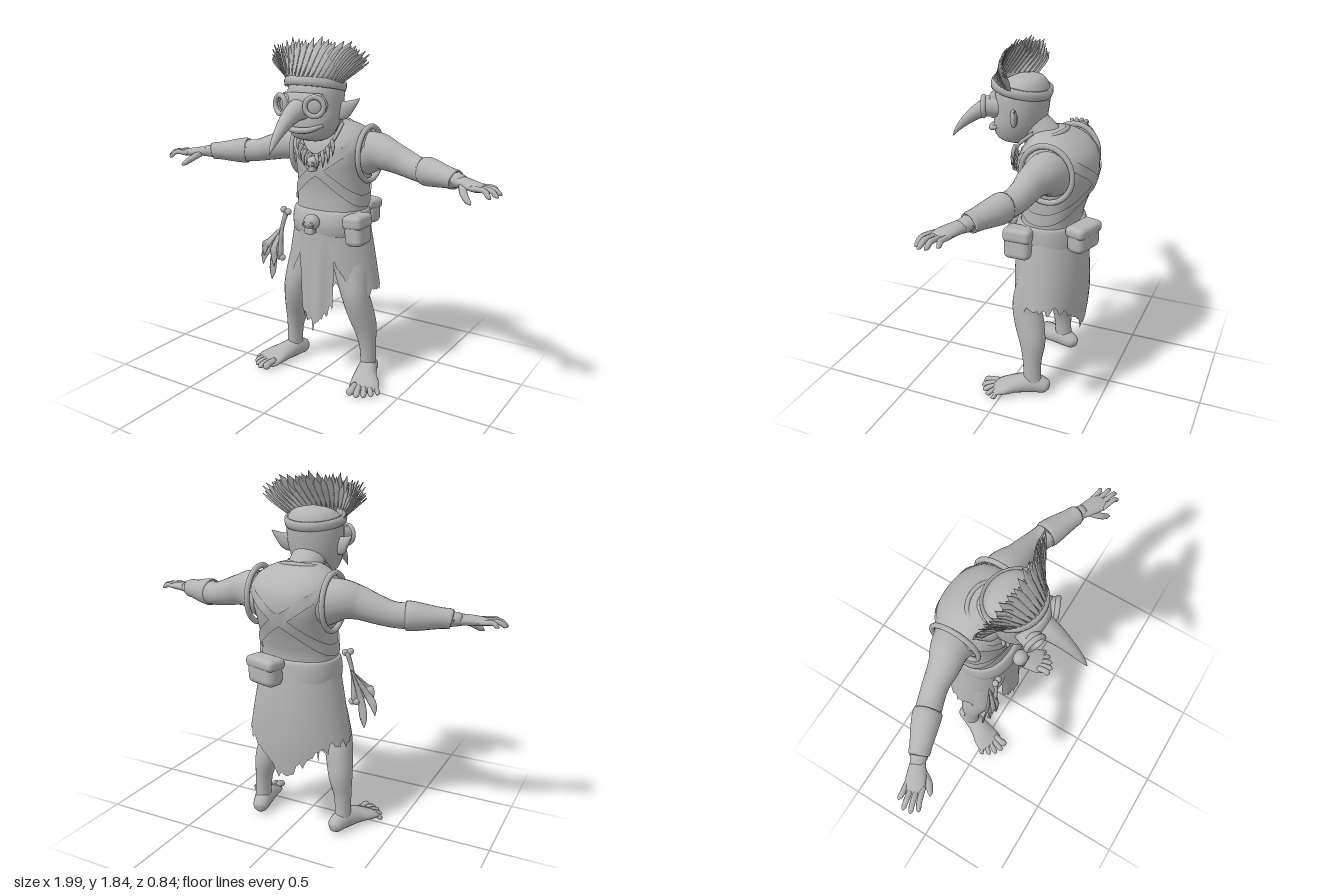
import * as THREE from 'three';
import { RoundedBoxGeometry } from 'three/addons/geometries/RoundedBoxGeometry.js';

const X = new THREE.Vector3(1, 0, 0), Y = new THREE.Vector3(0, 1, 0);
const V = (x, y, z) => new THREE.Vector3(x, y, z);
const wave = (c, p) => Math.sign(c) * Math.pow(Math.abs(c), p);

// Smooth capped body through stations [x, y, z, radiusAlongRef, otherRadius]
function sweep(stations, { ref = X, axis = null, sides = 20, steps = 5, power = 2 } = {}) {
  const path = new THREE.CatmullRomCurve3(stations.map(p => V(p[0], p[1], p[2])), false, 'catmullrom', 0.5);
  const radii = new THREE.CatmullRomCurve3(stations.map(p => V(p[3], p[4], 0)), false, 'catmullrom', 0.5);
  const n = (stations.length - 1) * steps, pos = [], idx = [];
  for (let i = 0; i <= n; i++) {
    const c = path.getPoint(i / n), r = radii.getPoint(i / n);
    const t = axis || path.getTangent(i / n);
    const u = ref.clone().addScaledVector(t, -ref.dot(t)).normalize();
    const w = t.clone().cross(u).normalize();
    for (let j = 0; j < sides; j++) {
      const a = j / sides * Math.PI * 2;
      const p = c.clone().addScaledVector(u, r.x * wave(Math.cos(a), 2 / power))
        .addScaledVector(w, r.y * wave(Math.sin(a), 2 / power));
      pos.push(p.x, p.y, p.z);
      if (i < n) {
        const k = (j + 1) % sides, q = i * sides;
        idx.push(q + j, q + k, q + sides + j, q + k, q + sides + k, q + sides + j);
      }
    }
  }
  const a = path.getPoint(0), b = path.getPoint(1), m = pos.length / 3;
  pos.push(a.x, a.y, a.z, b.x, b.y, b.z);
  for (let j = 0; j < sides; j++) {
    const k = (j + 1) % sides;
    idx.push(m, k, j, m + 1, n * sides + j, n * sides + k);
  }
  return buffer(pos, idx);
}

function buffer(pos, idx) {
  const g = new THREE.BufferGeometry();
  g.setAttribute('position', new THREE.Float32BufferAttribute(pos, 3));
  g.setIndex(idx);
  g.computeVertexNormals();
  return g;
}

// Thin sheet: f(u, v) gives a point, u and v run 0..1
function sheet(cols, rows, f) {
  const pos = [], idx = [];
  for (let i = 0; i <= cols; i++) for (let j = 0; j <= rows; j++) {
    pos.push(...f(i / cols, j / rows));
    if (i < cols && j < rows) {
      const a = i * (rows + 1) + j, b = a + rows + 1;
      idx.push(a, a + 1, b, a + 1, b + 1, b);
    }
  }
  return buffer(pos, idx);
}

// Torn edge: repeatable zigzag of uneven depth
const torn = i => (i % 4 === 0 ? 0 : i % 4 === 2 ? 0.045 : 0.02) * (0.55 + 0.45 * Math.sin(i * 2.3)) + 0.012 * Math.sin(i * 5.1);

// Trunk rows: y, front z, back z, half width
const trunk = [
  [0.78, 0.01, -0.31, 0.2], [0.95, 0, -0.3, 0.198], [1.05, 0, -0.325, 0.195], [1.15, 0.015, -0.365, 0.2],
  [1.22, 0.02, -0.38, 0.212], [1.3, 0.005, -0.365, 0.225], [1.36, -0.03, -0.315, 0.2], [1.4, -0.06, -0.25, 0.14], [1.42, -0.08, -0.2, 0.07],
];
const stack = rows => rows.map(([y, f, b, w]) => [0, y, (f + b) / 2, w, (f - b) / 2]);
function onTrunk(y, a, out) {
  let i = 0;
  while (i < trunk.length - 2 && trunk[i + 1][0] < y) i++;
  const k = (y - trunk[i][0]) / (trunk[i + 1][0] - trunk[i][0]);
  const [f, b, w] = [1, 2, 3].map(n => trunk[i][n] + (trunk[i + 1][n] - trunk[i][n]) * k);
  return [(w + out) * wave(Math.cos(a), 2 / 2.3), y, (f + b) / 2 + ((f - b) / 2 + out) * wave(Math.sin(a), 2 / 2.3)];
}

export function createModel() {
  const model = new THREE.Group();
  const grey = new THREE.MeshStandardMaterial({ color: 0xb4b4b4, side: THREE.DoubleSide });
  grey.name = 'plain grey';
  const add = (name, geo, p = [0, 0, 0], r = [0, 0, 0], s = [1, 1, 1]) => {
    const m = new THREE.Mesh(geo, grey);
    m.name = name;
    m.position.set(...p); m.rotation.set(...r); m.scale.set(...s);
    model.add(m);
    return m;
  };
  const ball = new THREE.SphereGeometry(1, 20, 14);
  const skull = (name, x, y, z, s) => {
    add(name, ball, [x, y, z], [0, 0, 0], [s, s * 0.95, s * 0.9]);
    add(name + 'Jaw', new RoundedBoxGeometry(s * 1.1, s * 0.8, s, 2, s * 0.2), [x, y - s * 0.95, z + s * 0.25]);
    for (const k of [-1, 1]) add(name + 'Eye', new THREE.TorusGeometry(s * 0.27, s * 0.1, 6, 14), [x + k * s * 0.42, y - s * 0.15, z + s * 0.78]);
  };

  // Trunk, vest straps and collar
  add('vest', sweep(stack(trunk), { axis: Y, sides: 36, power: 2.3 }));
  for (const s of [-1, 1]) {
    add('crossStrap', sheet(64, 2, (u, v) => {
      const a = u * Math.PI * 2;
      return onTrunk(1.17 + s * 0.17 * Math.cos(a) + (v - 0.5) * 0.065, a, 0.008);
    }));
  }
  add('collar', new THREE.TorusGeometry(0.115, 0.014, 8, 32), [0, 1.385, -0.12], [Math.PI / 2 + 0.3, 0, 0], [1.05, 0.85, 1]);
  add('neck', sweep([[0, 1.3, -0.17, 0.1, 0.09], [0, 1.38, -0.09, 0.095, 0.085], [0, 1.46, 0, 0.09, 0.08]]));

  // Belt and its hangings
  add('belt', sweep(stack([[0.815, 0.01, -0.31, 0.2], [0.825, 0.03, -0.325, 0.212], [0.885, 0.038, -0.325, 0.216],
    [0.94, 0.022, -0.315, 0.21], [0.952, 0.005, -0.3, 0.198]]), { axis: Y, sides: 36, power: 2.2 }));
  skull('beltSkull', 0, 0.9, 0.06, 0.045);
  add('sidePouch', new RoundedBoxGeometry(0.1, 0.16, 0.14, 4, 0.03), [0.215, 0.865, -0.05], [0, 0, 0.08]);
  add('sidePouchFlap', new RoundedBoxGeometry(0.112, 0.075, 0.15, 4, 0.025), [0.212, 0.912, -0.05], [0, 0, 0.08]);
  add('backBag', new RoundedBoxGeometry(0.18, 0.14, 0.1, 4, 0.035), [0.09, 0.9, -0.35], [0, -0.3, 0]);
  add('backBagFlap', new RoundedBoxGeometry(0.19, 0.06, 0.11, 4, 0.025), [0.09, 0.943, -0.35], [0, -0.3, 0]);
  add('boneClub', sweep([[-0.185, 0.93, 0.02, 0.014, 0.014], [-0.21, 0.82, 0.035, 0.011, 0.011], [-0.225, 0.67, 0.03, 0.016, 0.016]], { sides: 10 }));
  for (const [x, y] of [[-0.2, 0.935], [-0.17, 0.925], [-0.213, 0.66], [-0.238, 0.662]]) add('boneKnob', ball, [x, y, 0.028], [0, 0, 0], [0.018, 0.018, 0.018]);
  [[-0.345, 0.6, 0.03], [-0.315, 0.66, 0.06], [-0.285, 0.52, 0.03], [-0.25, 0.61, 0.06]].forEach(([x, y, z]) =>
    add('hipFeather', sweep([[-0.22, 0.84, 0, 0.005, 0.003], [(x - 0.24) / 2, (y + 0.84) / 2, z, 0.02, 0.004],
      [x * 0.9 - 0.022, y + 0.06, z, 0.022, 0.004], [x, y, z, 0.002, 0.002]], { sides: 6 })));

  // Torn skirt, open at the front, with a long tail behind
  const cols = 88;
  add('skirt', sheet(cols, 8, (u, v) => {
    const a = 0.32 + u * (Math.PI * 2 - 0.64), d = Math.min(a, Math.PI * 2 - a);
    const tail = Math.max(0, (d - 2.2) / 0.94);
    const hem = 0.53 + 0.24 * Math.pow(Math.max(0, 1 - (d - 0.32) / 0.6), 1.3) - 0.2 * Math.pow(tail, 1.4) - torn(Math.round(u * cols));
    const y = 0.93 + (hem - 0.93) * v, k = (0.93 - y) / 0.4;
    const w = 0.203 + 0.075 * Math.min(k, 1.1) - 0.04 * Math.max(0, k - 1.1);
    const rz = 0.17 + 0.022 * Math.sin(Math.min(k, 1.6) * 2);
    return [w * Math.sin(a), y, -0.15 + rz * Math.cos(a) - 0.008 * Math.min(k, 1)];
  }));
  add('frontFlap', sheet(28, 6, (u, v) => {
    const x = (u - 0.5) * 2, hem = 0.31 + 0.12 * Math.abs(x + 0.1) - torn(Math.round(u * 28) + 2) * 1.1;
    return [x * (0.115 - 0.015 * v), 0.86 + (hem - 0.86) * v, 0.033 - 0.025 * x * x + 0.006 * Math.sin(x * 7) * v];
  }));

  for (const s of [-1, 1]) {
    const side = (list, o) => sweep(list.map(p => [p[0] * s, ...p.slice(1)]), o);
    // Arm, armhole rim, bracer and hand
    add('arm', side([[0.15, 1.24, -0.2, 0.12, 0.12], [0.25, 1.262, -0.19, 0.1, 0.098], [0.33, 1.25, -0.17, 0.082, 0.08],
      [0.42, 1.225, -0.16, 0.07, 0.066], [0.5, 1.205, -0.14, 0.062, 0.064], [0.6, 1.2, -0.105, 0.062, 0.064],
      [0.7, 1.195, -0.065, 0.045, 0.05], [0.79, 1.19, -0.028, 0.03, 0.034]], { ref: Y }));
    add('armholeRim', new THREE.TorusGeometry(0.132, 0.014, 8, 36), [0.205 * s, 1.245, -0.19], [0, Math.PI / 2, 0.12 * s], [1, 1.08, 1]);
    add('bracer', side([[0.55, 1.203, -0.123, 0.062, 0.06], [0.556, 1.203, -0.121, 0.071, 0.071], [0.6, 1.2, -0.105, 0.068, 0.07],
      [0.7, 1.195, -0.065, 0.051, 0.055], [0.74, 1.193, -0.049, 0.049, 0.051], [0.745, 1.192, -0.047, 0.04, 0.04]], { ref: Y }));
    add('palm', side([[0.76, 1.19, -0.04, 0.03, 0.034], [0.82, 1.188, -0.01, 0.025, 0.045], [0.88, 1.182, 0.018, 0.02, 0.05], [0.91, 1.178, 0.032, 0.012, 0.042]], { ref: Y }));
    [[0.9, -0.015, 0.965, -0.015], [0.905, 0.012, 0.993, 0.026], [0.9, 0.038, 0.99, 0.062], [0.885, 0.06, 0.965, 0.088]].forEach(([x, z, tx, tz], i) =>
      add('finger', side([[x - 0.03, 1.182, z - 0.01, 0.013, 0.014], [(x + tx) / 2, 1.186, (z + tz) / 2, 0.013, 0.013],
        [tx - 0.012, 1.174 - i * 0.004, tz - 0.003, 0.011, 0.011], [tx, 1.168 - i * 0.004, tz, 0.003, 0.003]], { ref: Y, sides: 8 })));
    add('thumb', side([[0.8, 1.18, 0.01, 0.02, 0.02], [0.825, 1.155, 0.055, 0.018, 0.018], [0.855, 1.13, 0.08, 0.014, 0.014], [0.872, 1.118, 0.09, 0.004, 0.004]], { ref: Y, sides: 10 }));

    // Leg, foot and toes
    add('leg', side([[0.11, 0.8, -0.15, 0.09, 0.11], [0.15, 0.62, -0.12, 0.1, 0.105], [0.185, 0.5, -0.085, 0.076, 0.08], [0.205, 0.4, -0.105, 0.07, 0.08],
      [0.225, 0.3, -0.13, 0.062, 0.07], [0.24, 0.2, -0.135, 0.046, 0.052], [0.245, 0.11, -0.138, 0.042, 0.048], [0.245, 0.04, -0.145, 0.042, 0.055]]));
    add('foot', side([[0.222, 0.035, -0.228, 0.015, 0.02], [0.228, 0.042, -0.205, 0.04, 0.04], [0.245, 0.055, -0.14, 0.05, 0.054], [0.272, 0.047, -0.06, 0.062, 0.046],
      [0.3, 0.034, 0.0, 0.078, 0.033], [0.32, 0.022, 0.045, 0.078, 0.021], [0.328, 0.018, 0.06, 0.06, 0.012]]));
    [[0.28, 0.13, 0.021], [0.318, 0.128, 0.017], [0.35, 0.108, 0.016], [0.378, 0.078, 0.015], [0.398, 0.04, 0.014]].forEach(([x, z, r], i) => {
      const bx = 0.268 + i * 0.021, bz = 0.045 - i * 0.013;
      add('toe', side([[bx, 0.028, bz, r, r], [(bx + x) / 2, 0.03, (bz + z) / 2, r * 0.9, r * 0.8], [x - 0.005, r, z - 0.015, r, r * 0.9], [x, r * 0.7, z, r * 0.3, r * 0.3]], { sides: 10 }));
    });

    // Ear and goggle
    add('ear', side([[0.12, 1.48, 0.01, 0.045, 0.018], [0.155, 1.49, 0, 0.045, 0.018], [0.19, 1.515, -0.02, 0.024, 0.012], [0.225, 1.545, -0.035, 0.002, 0.002]], { ref: Y, sides: 12 }));
    add('goggleTube', new THREE.CylinderGeometry(0.05, 0.056, 0.09, 28, 1, true), [0.082 * s, 1.517, 0.145], [Math.PI / 2, 0, -0.4 * s]);
    add('goggleRim', new THREE.TorusGeometry(0.046, 0.013, 10, 30), [0.1 * s, 1.517, 0.185], [0, 0.4 * s, 0]);
    add('goggleLens', ball, [0.09 * s, 1.517, 0.162], [0, 0.4 * s, 0], [0.042, 0.042, 0.014]);
  }

  // Head, mask bridge, beak and lip
  add('head', sweep(stack([[1.33, 0.08, 0, 0.05], [1.355, 0.145, -0.05, 0.1], [1.42, 0.165, -0.095, 0.132], [1.5, 0.15, -0.112, 0.147],
    [1.58, 0.15, -0.12, 0.148], [1.63, 0.12, -0.108, 0.135], [1.665, 0.06, -0.075, 0.09], [1.68, -0.002, -0.012, 0.008]]), { axis: Y, sides: 30 }));
  add('maskBridge', sweep([[-0.11, 1.52, 0.13, 0.055, 0.03], [0, 1.52, 0.165, 0.06, 0.03], [0.11, 1.52, 0.13, 0.055, 0.03]], { ref: Y }));
  add('beak', sweep([[0, 1.505, 0.13, 0.07, 0.06], [0, 1.49, 0.2, 0.054, 0.05], [0, 1.455, 0.27, 0.04, 0.038], [0, 1.405, 0.335, 0.027, 0.026],
    [0, 1.355, 0.385, 0.015, 0.015], [0, 1.31, 0.418, 0.002, 0.002]]));
  add('lowerLip', sweep([[-0.1, 1.42, 0.11, 0.008, 0.01], [-0.06, 1.4, 0.16, 0.014, 0.016], [0, 1.395, 0.178, 0.016, 0.018], [0.06, 1.4, 0.16, 0.014, 0.016], [0.1, 1.42, 0.11, 0.008, 0.01]], { ref: Y, sides: 10 }));

  // Headband and feather crown
  const band = [[0.138, -0.022], [0.156, -0.022], [0.16, 0], [0.156, 0.022], [0.138, 0.022], [0.138, -0.022]].map(p => new THREE.Vector2(...p));
  add('headband', new THREE.LatheGeometry(band, 40), [0, 1.61, 0.02], [-0.18, 0, 0], [1, 1, 0.97]);
  for (let row = 0; row < 2; row++) for (let i = 0; i < 21 - row; i++) {
    const a = ((i + row * 0.5) / 20 - 0.5) * Math.PI * 0.98, c = Math.cos(a), sn = Math.sin(a);
    const long = 1 + 0.05 * Math.sin(i * 4.7 + row) - row * 0.1;
    const base = V(0.148 * sn, 1.615 + 0.03 * c, 0.02 + (0.142 - row * 0.012) * c);
    const tip = V(0.29 * sn, 1.71 + 0.125 * Math.pow(c, 0.6), -0.01 + 0.045 * c).sub(base).multiplyScalar(long).add(base);
    const at = (k, w) => [...base.clone().lerp(tip, k).toArray(), w, 0.003];
    add('crownFeather', sweep([at(0, 0.007), at(0.35, 0.015), at(0.75, 0.019), at(1, 0.001)], { ref: V(c, 0, -sn), sides: 6, steps: 4 }));
  }

  // Necklace with claws and a skull
  const cord = new THREE.CatmullRomCurve3([V(-0.1, 1.41, -0.08), V(-0.1, 1.34, 0.0), V(-0.06, 1.275, 0.025), V(0, 1.25, 0.032),
    V(0.06, 1.275, 0.025), V(0.1, 1.34, 0.0), V(0.1, 1.41, -0.08)]);
  add('necklaceCord', new THREE.TubeGeometry(cord, 40, 0.009, 8));
  for (let i = 0; i < 8; i++) {
    const p = cord.getPoint(0.2 + i * 0.6 / 7), k = Math.sign(p.x);
    add('claw', sweep([[p.x, p.y + 0.01, p.z + 0.008, 0.011, 0.011], [p.x + 0.014 * k, p.y - 0.03, p.z + 0.018, 0.009, 0.009], [p.x + 0.006 * k, p.y - 0.075, p.z + 0.012, 0.001, 0.001]], { sides: 8 }));
  }
  skull('necklaceSkull', 0, 1.215, 0.045, 0.034);
  return model;
}
